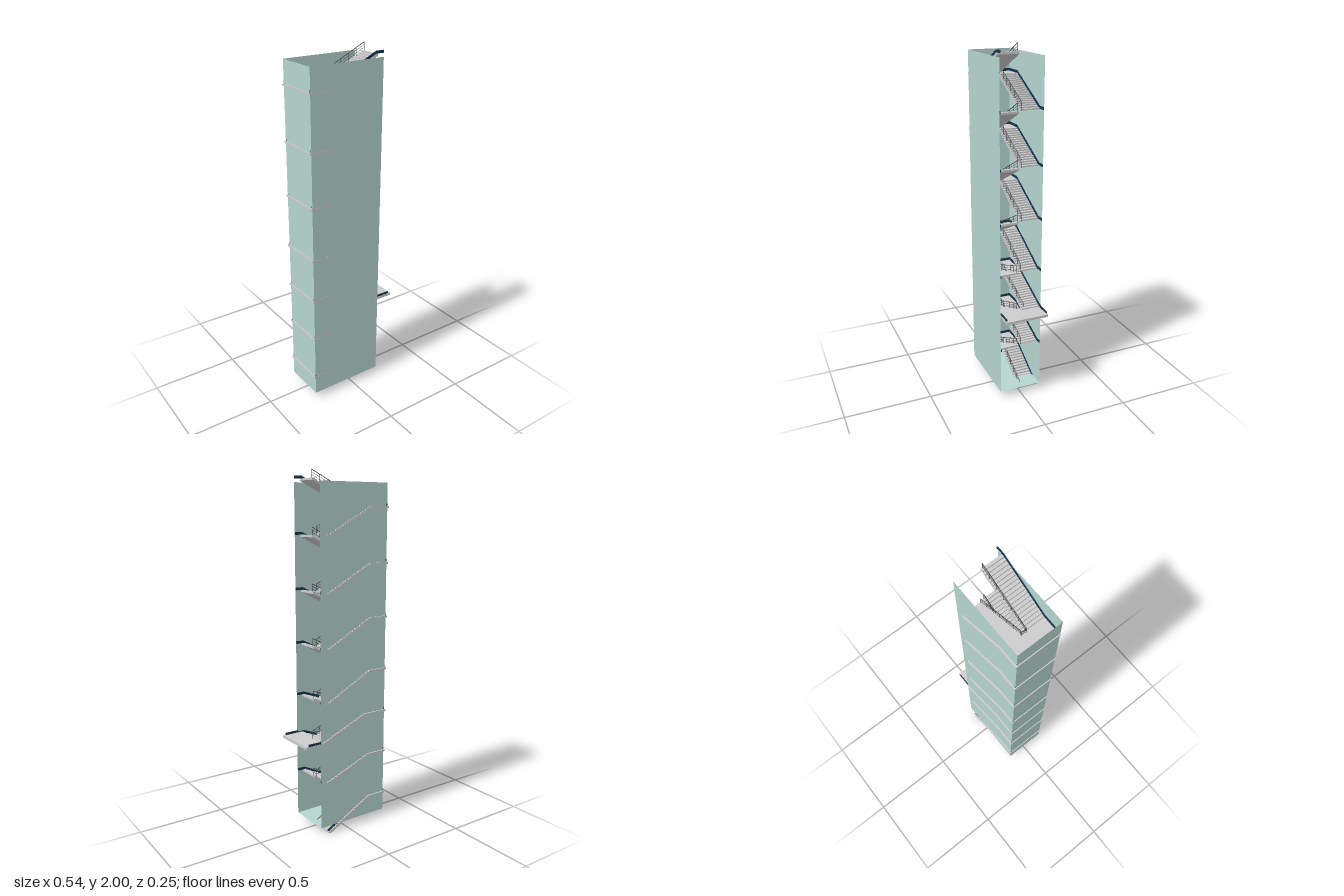
import * as THREE from 'three';

const glass = new THREE.MeshStandardMaterial({ color: 0xb5d5cf, side: THREE.DoubleSide });
const grey = new THREE.MeshStandardMaterial({ color: 0xcccccc });
const navy = new THREE.MeshStandardMaterial({ color: 0x17344f });
const dark = new THREE.MeshStandardMaterial({ color: 0x444444 });

// Storey levels, half landing levels, and where the flights start and turn
const floors = [0, 0.305, 0.54, 0.762, 1.06, 1.36, 1.66, 1.955];
const landings = [0.156, 0.417, 0.663, 0.912, 1.212, 1.512, 1.812];
const startX = [0.13, 0.135, 0.165, 0.13, 0.13, 0.13, 0.13];
const turnX = [-0.16, -0.155, -0.125, -0.16, -0.16, -0.16, -0.16];
const END_X = 0.14, WALL_L = -0.265, WALL_R = 0.175, BACK = -0.119, FRONT = 0.127;
const STEPS = 18, RAIL = 0.043;

function add(parent, name, geometry, material) {
  const mesh = new THREE.Mesh(geometry, material);
  mesh.name = name;
  parent.add(mesh);
  return mesh;
}

// Box given by its limits on each axis
function block(parent, name, x0, x1, y0, y1, z0, z1, material) {
  const g = new THREE.BoxGeometry(x1 - x0, y1 - y0, z1 - z0);
  g.translate((x0 + x1) / 2, (y0 + y1) / 2, (z0 + z1) / 2);
  return add(parent, name, g, material);
}

// Side outline in x and y, extruded from z0 to z1
function slab(parent, name, points, z0, z1, material) {
  const shape = new THREE.Shape(points.map(p => new THREE.Vector2(p[0], p[1])));
  const g = new THREE.ExtrudeGeometry(shape, { depth: z1 - z0, bevelEnabled: false });
  g.translate(0, 0, z0);
  return add(parent, name, g, material);
}

// Thin round bar between two points
function bar(parent, name, a, b, radius) {
  const from = new THREE.Vector3(...a), to = new THREE.Vector3(...b);
  const dir = to.clone().sub(from);
  const mesh = add(parent, name, new THREE.CylinderGeometry(radius, radius, dir.length(), 6), dark);
  mesh.position.copy(from).add(to).multiplyScalar(0.5);
  mesh.quaternion.setFromUnitVectors(new THREE.Vector3(0, 1, 0), dir.normalize());
}

// Stepped flight with a sloping underside
function flight(parent, name, xs, y0, xe, y1, z0, z1) {
  const g = (xe - xs) / STEPS, h = (y1 - y0) / STEPS, waist = 0.011;
  const pts = [[xs, y0]];
  for (let i = 0; i < STEPS; i++) {
    pts.push([xs + i * g, y0 + (i + 1) * h], [xs + (i + 1) * g, y0 + (i + 1) * h]);
  }
  pts.push([xe, y1 - waist], [xs + (g * waist) / h, y0]);
  slab(parent, name, pts, z0, z1, grey);
}

// Skirting band that follows a path along a wall
function skirting(parent, path, z0, z1) {
  const top = path.map(([x, y]) => [x, y + 0.014]).reverse();
  slab(parent, 'skirting', [...path, ...top], z0, z1, navy);
}

// Handrail, mid rails and posts along one flight
function railing(parent, xs, y0, xe, y1, z) {
  [1, 0.68, 0.36].forEach((f, i) => bar(parent, i ? 'midRail' : 'handrail',
    [xs, y0 + RAIL * f, z], [xe, y1 + RAIL * f, z], i ? 0.0009 : 0.0018));
  for (let i = 0; i <= 6; i++) {
    const x = xs + (xe - xs) * i / 6, y = y0 + (y1 - y0) * i / 6;
    bar(parent, 'railPost', [x, y, z], [x, y + RAIL, z], 0.0012);
  }
}

// Rail that turns round the stairwell at a half landing
function turnRail(parent, x, y) {
  const zb = -0.0145, zf = 0.0125, end = -0.169;
  [1, 0.68, 0.36].forEach((f, i) => {
    const r = i ? 0.0009 : 0.0018, h = y + RAIL * f;
    bar(parent, 'turnRail', [x, h, zb], [end, h, zb], r);
    bar(parent, 'turnRail', [end, h, zb], [end, h, zf], r);
    bar(parent, 'turnRail', [end, h, zf], [x, h, zf], r);
  });
  for (const z of [zb, zf]) bar(parent, 'turnPost', [end, y, z], [end, y + RAIL, z], 0.0012);
}

function storey(i) {
  const group = new THREE.Group();
  group.name = 'storey' + (i + 1);
  const y0 = floors[i], y1 = landings[i], y2 = i === 1 ? 0.53 : floors[i + 1];
  const xs = startX[i], xt = turnX[i];

  flight(group, 'backFlight', xs, y0, xt, y1, -0.127, -0.008);
  flight(group, 'frontFlight', xt, y1, END_X, y2, 0.005, 0.125);
  block(group, 'halfLanding', -0.27, xt, y1 - 0.011, y1, -0.127, 0.1275, grey);

  // Skirting on the back, end and front walls
  const rise = 0.004;
  const backPath = [[WALL_L, y1], [xt, y1], [xs, y0 + rise]];
  if (i > 0) backPath.push([WALL_R, y0 + rise]);
  skirting(group, backPath, BACK + 0.0005, BACK + 0.005);
  skirting(group, [[WALL_L, y1], [xt, y1 + rise], [END_X - 0.01, y2], [WALL_R, y2]], 0.121, 0.1255);
  block(group, 'endSkirting', WALL_L + 0.0005, WALL_L + 0.005, y1, y1 + 0.014, BACK, 0.125, navy);

  railing(group, xs, y0, xt, y1, -0.0145);
  railing(group, xt, y1, END_X - 0.002, y2, 0.0125);
  turnRail(group, xt, y1);
  return group;
}

// Thin shaft, open at the top and on one side
function shaft() {
  const group = new THREE.Group();
  group.name = 'shaft';
  const y0 = 0.04, y1 = 1.935, w = WALL_R - WALL_L, d = FRONT - BACK;
  const cx = (WALL_L + WALL_R) / 2, cy = (y0 + y1) / 2, cz = (FRONT + BACK) / 2;
  add(group, 'frontWall', new THREE.PlaneGeometry(w, y1 - y0), glass).position.set(cx, cy, FRONT);
  add(group, 'backWall', new THREE.PlaneGeometry(w, y1 - y0).rotateY(Math.PI), glass).position.set(cx, cy, BACK);
  add(group, 'endWall', new THREE.PlaneGeometry(d, y1 - y0).rotateY(-Math.PI / 2), glass).position.set(WALL_L, cy, cz);
  add(group, 'shaftFloor', new THREE.PlaneGeometry(w, d).rotateX(-Math.PI / 2), glass).position.set(cx, y0, cz);
  return group;
}

export function createModel() {
  const model = new THREE.Group();
  model.name = 'stairTower';
  model.add(shaft());
  for (let i = 0; i < landings.length; i++) model.add(storey(i));

  // Entrance platform reaching out of the open side
  const platform = new THREE.Group();
  platform.name = 'entrancePlatform';
  block(platform, 'platformSlab', END_X, 0.27, 0.525, 0.54, -0.12, 0.1275, grey);
  block(platform, 'platformSkirting', WALL_R, 0.255, 0.54, 0.552, BACK, BACK + 0.0045, navy);
  block(platform, 'platformSkirting', WALL_R, 0.255, 0.54, 0.552, 0.121, 0.1255, navy);
  model.add(platform);
  return model;
}
